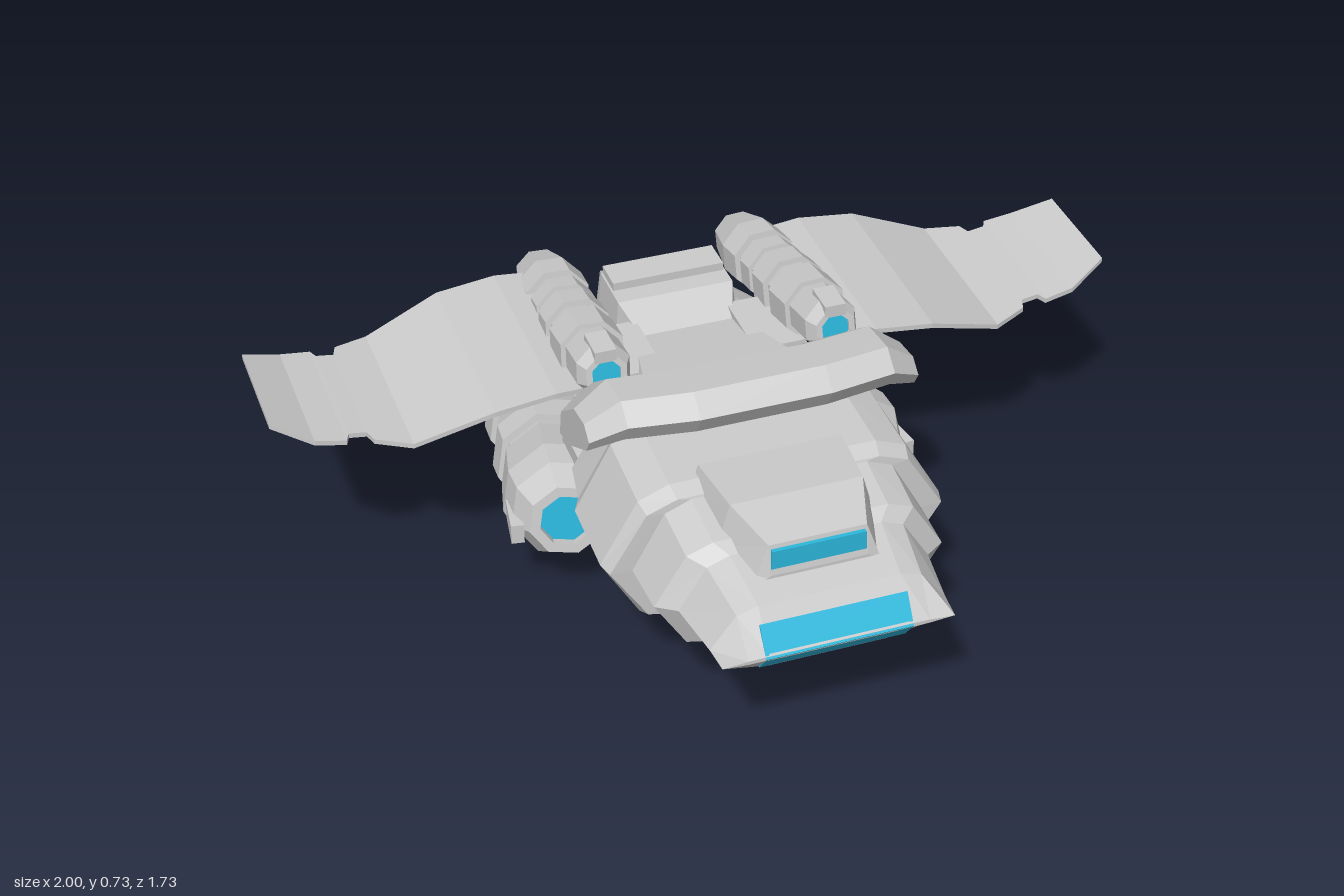
import * as THREE from 'three';

const grey = new THREE.MeshStandardMaterial({ color: 0xcccccc, flatShading: true, side: THREE.DoubleSide });
const glow = new THREE.MeshStandardMaterial({ color: 0x2cb8dc, flatShading: true, side: THREE.DoubleSide });

// Closed solid skinned over rings of [x, y, z] points, turned to face outwards
function loft(name, rings, mat = grey) {
  const tris = [], n = rings[0].length;
  for (let i = 0; i < rings.length - 1; i++) {
    for (let j = 0; j < n; j++) {
      const k = (j + 1) % n, a = rings[i], b = rings[i + 1];
      tris.push([a[j], a[k], b[k]], [a[j], b[k], b[j]]);
    }
  }
  const last = rings[rings.length - 1];
  for (let j = 1; j < n - 1; j++) {
    tris.push([rings[0][0], rings[0][j + 1], rings[0][j]], [last[0], last[j], last[j + 1]]);
  }
  const v = (p) => new THREE.Vector3(...p);
  const volume = tris.reduce((s, [a, b, c]) => s + v(a).dot(v(b).cross(v(c))), 0);
  const pos = tris.flatMap(([a, b, c]) => (volume > 0 ? [a, b, c] : [a, c, b])).flat();
  const geo = new THREE.BufferGeometry();
  geo.setAttribute('position', new THREE.Float32BufferAttribute(pos, 3));
  geo.computeVertexNormals();
  const mesh = new THREE.Mesh(geo, mat);
  mesh.name = name;
  return mesh;
}

// Hull cross-section: flat top and floor, chamfers, and a side ridge at y = 0.38
function hullRing([z, w, lo, hi]) {
  const d = (hi - lo) * 0.08;
  const half = [[0.5, lo], [0.78, lo + d], [1, 0.38], [0.78, hi - d], [0.6, hi]];
  return [...half.map(([f, y]) => [f * w, y, z]), ...half.reverse().map(([f, y]) => [-f * w, y, z])];
}

// Trapezoid cross-section across z
const trapRing = ([z, wLo, wHi, lo, hi]) => [[-wLo, lo, z], [wLo, lo, z], [wHi, hi, z], [-wHi, hi, z]];

// [z, y] profile placed at x
const sideRing = (x, profile) => profile.map(([z, y]) => [x, y, z]);

// Eight-sided engine along a line; profile rows are [distance, radius]
function engine(name, from, to, profile, core) {
  const g = new THREE.Group();
  g.name = name;
  const a = new THREE.Vector3(...from), dir = new THREE.Vector3(...to).sub(a), len = dir.length();
  const [r0, r1] = core;
  const pts = [[0.04, r0], ...profile, [0.96, r1]].map(([t, r]) => new THREE.Vector2(r, t * len));
  const casing = new THREE.Mesh(new THREE.LatheGeometry(pts, 8, Math.PI / 8), grey);
  casing.name = 'engineCasing';
  g.add(casing);
  [[0.035, r0, 'intakeGlow'], [0.965, r1, 'exhaustGlow']].forEach(([t, r, label]) => {
    const plug = new THREE.Mesh(new THREE.CylinderGeometry(r, r, 0.03, 8, 1, false, Math.PI / 8), glow);
    plug.position.y = t * len;
    plug.name = label;
    g.add(plug);
  });
  g.position.copy(a);
  g.quaternion.setFromUnitVectors(new THREE.Vector3(0, 1, 0), dir.normalize());
  return g;
}

function box(name, w, h, d, x, y, z) {
  const m = new THREE.Mesh(new THREE.BoxGeometry(w, h, d), grey);
  m.position.set(x, y, z);
  m.name = name;
  return m;
}

export function createModel() {
  const model = new THREE.Group();
  model.name = 'spaceship';

  // Hull, from wedge nose to wedge tail
  model.add(loft('hull', [
    [0.855, 0.26, 0.375, 0.385], [0.79, 0.265, 0.3, 0.47], [0.65, 0.285, 0.26, 0.5],
    [0.62, 0.33, 0.24, 0.52], [0.49, 0.335, 0.235, 0.54], [0.488, 0.385, 0.22, 0.545],
    [0.45, 0.395, 0.2, 0.56], [0.25, 0.39, 0.2, 0.57], [0.21, 0.37, 0.235, 0.55],
    [0.1, 0.35, 0.245, 0.53], [-0.02, 0.24, 0.26, 0.51], [-0.25, 0.17, 0.305, 0.46],
    [-0.36, 0.15, 0.375, 0.385],
  ].map(hullRing)));
  const windowProfile = [[0.858, 0.38], [0.816, 0.442], [0.78, 0.38], [0.816, 0.325]];
  model.add(loft('noseWindow', [-0.165, 0.165].map((x) => sideRing(x, windowProfile)), glow));

  // Cockpit with its window
  model.add(loft('cockpit', [
    [0.73, 0.14, 0.11, 0.47, 0.49], [0.715, 0.14, 0.11, 0.47, 0.56], [0.59, 0.18, 0.15, 0.48, 0.585],
    [0.43, 0.19, 0.165, 0.5, 0.58],
  ].map(trapRing)));
  model.add(loft('cockpitWindow', [
    [0.727, 0.108, 0.105, 0.49, 0.55], [0.68, 0.108, 0.105, 0.49, 0.55],
  ].map(trapRing), glow));

  // Tilted shoulder block across the back
  const shoulder = [[0.41, 0.68], [0.36, 0.72], [0.25, 0.705], [0.1, 0.59], [0.08, 0.49], [0.21, 0.53], [0.38, 0.63]];
  const bulk = (f, dz, dy) => shoulder.map(([z, y]) => [0.23 + (z - 0.23) * f + dz, 0.61 + (y - 0.61) * f + dy]);
  model.add(loft('shoulderBlock', [
    [-0.38, 0.68, -0.01, -0.03], [-0.305, 0.97, -0.02, 0], [-0.15, 1, 0, 0],
    [0.15, 1, 0, 0], [0.305, 0.97, -0.02, 0], [0.38, 0.68, -0.01, -0.03],
  ].map(([x, f, dz, dy]) => sideRing(x, bulk(f, dz, dy)))));

  // Rear deck and stepped block above the tail
  model.add(loft('rearDeck', [
    [0.16, 0.26, 0.19, 0.46, 0.59], [-0.02, 0.2, 0.15, 0.46, 0.56], [-0.14, 0.16, 0.12, 0.44, 0.54],
  ].map(trapRing)));
  model.add(loft('rearBlock', [
    [-0.11, 0.13, 0.11, 0.45, 0.54], [-0.2, 0.15, 0.14, 0.45, 0.59], [-0.33, 0.15, 0.14, 0.47, 0.59],
    [-0.37, 0.14, 0.13, 0.49, 0.57],
  ].map(trapRing)));
  model.add(box('rearBlockCap', 0.27, 0.02, 0.08, 0, 0.6, -0.29));

  for (const s of [1, -1]) {
    const side = s > 0 ? 'left' : 'right';

    // Thin cranked wing with a notch near the tip: [x, y, rear z, front z]
    model.add(loft(side + 'Wing', [
      [0.25, 0.58, -0.39, 0.09], [0.38, 0.587, -0.4, 0.1], [0.52, 0.57, -0.4, 0.1], [0.7, 0.507, -0.37, 0.07],
      [0.78, 0.515, -0.34, 0.035], [0.79, 0.516, -0.31, 0.005], [0.83, 0.522, -0.31, 0.005],
      [0.84, 0.523, -0.33, 0.03], [0.91, 0.535, -0.325, 0.025], [1, 0.578, -0.29, -0.01],
    ].map(([x, y, back, front]) => [
      [x * s, y + 0.006, back], [x * s, y + 0.006, front], [x * s, y - 0.006, front], [x * s, y - 0.006, back],
    ])));

    // Large lower engine
    model.add(engine(side + 'LowerEngine', [0.37 * s, 0.25, 0.12], [0.21 * s, 0.1, -0.85], [
      [0, 0.065], [0, 0.09], [0.06, 0.125], [0.13, 0.138], [0.25, 0.128], [0.25, 0.115], [0.29, 0.115],
      [0.29, 0.132], [0.36, 0.138], [0.43, 0.124], [0.43, 0.112], [0.48, 0.112], [0.48, 0.13], [0.56, 0.136],
      [0.62, 0.12], [0.62, 0.105], [0.7, 0.1], [0.7, 0.13], [0.77, 0.138], [0.9, 0.125], [1, 0.1], [1, 0.06],
    ], [0.065, 0.06]));
    const fin = box(side + 'EngineVent', 0.03, 0.05, 0.1, 0.472 * s, 0.215, 0.04);
    fin.rotation.y = 0.16 * s;
    model.add(fin);

    // Pylon joining the lower engine to the hull
    model.add(box(side + 'Pylon', 0.14, 0.12, 0.14, 0.26 * s, 0.33, 0.03));

    // Small upper engine
    model.add(engine(side + 'UpperEngine', [0.27 * s, 0.635, 0.125], [0.25 * s, 0.53, -0.475], [
      [0, 0.035], [0, 0.05], [0.05, 0.066], [0.2, 0.066], [0.2, 0.078], [0.35, 0.08], [0.35, 0.066],
      [0.41, 0.066], [0.41, 0.08], [0.52, 0.08], [0.52, 0.066], [0.57, 0.066], [0.57, 0.076], [0.66, 0.076],
      [0.66, 0.064], [0.7, 0.064], [0.7, 0.08], [0.82, 0.082], [1, 0.058], [1, 0.036],
    ], [0.035, 0.036]));
    model.add(box(side + 'UpperVent', 0.05, 0.03, 0.08, 0.27 * s, 0.68, 0.08));

    // Mount between the upper engine and the rear deck
    model.add(box(side + 'UpperMount', 0.12, 0.06, 0.2, 0.17 * s, 0.53, -0.06));
  }
  return model;
}
